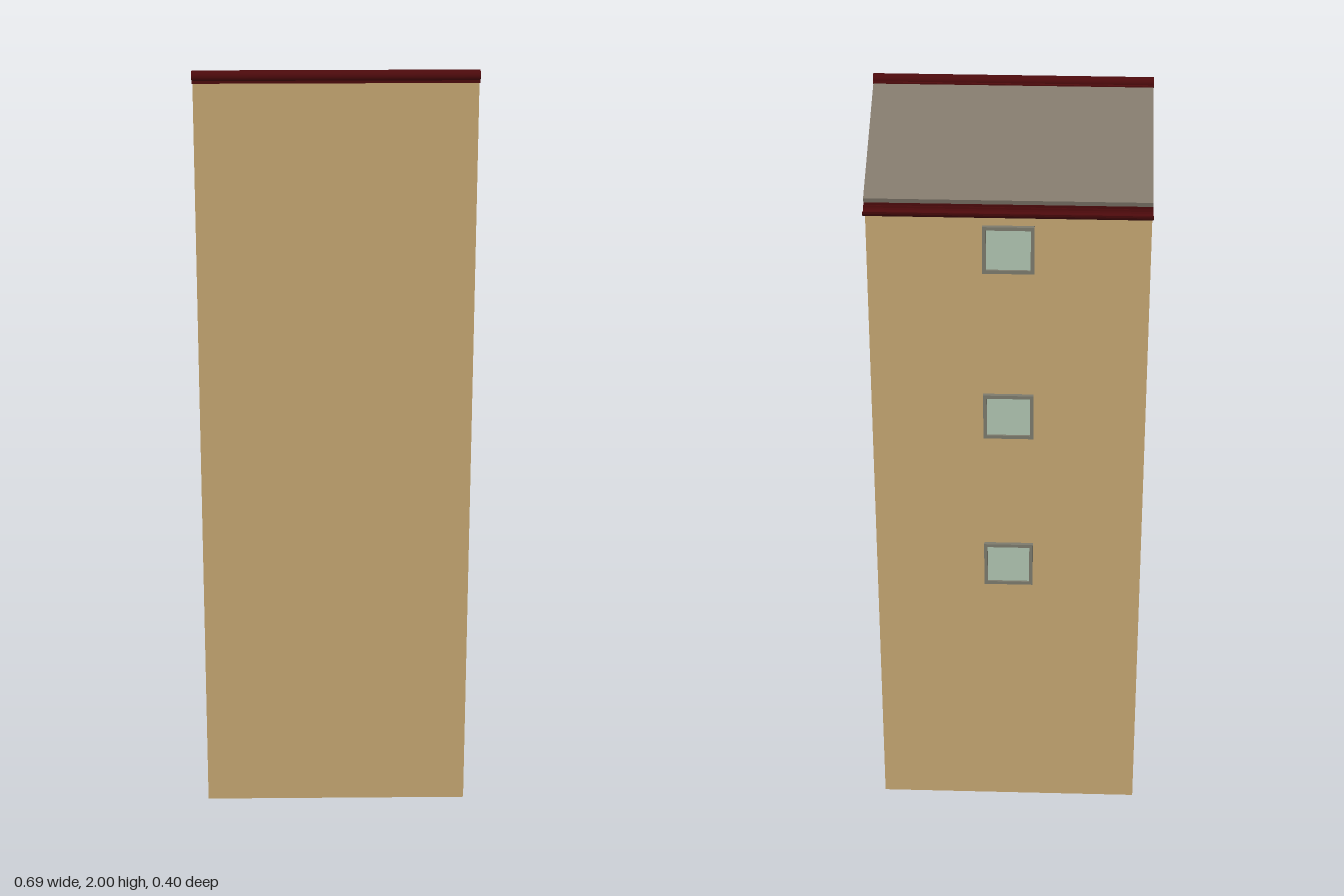
import * as THREE from 'three';

const material = (name, color, side = THREE.FrontSide) => {
  const m = new THREE.MeshStandardMaterial({ color, side });
  m.name = name;
  return m;
};

// Extrudes a (z, y) profile along x, centred on x = 0
function extrudeAlongX(points, width) {
  const shape = new THREE.Shape(points.map(([z, y]) => new THREE.Vector2(z, y)));
  const geo = new THREE.ExtrudeGeometry(shape, { depth: width, bevelEnabled: false });
  geo.translate(0, 0, -width / 2);
  geo.rotateY(-Math.PI / 2);
  return geo;
}

export function createModel() {
  const wall = material('wall plaster', 0xc8a974);
  const roofing = material('roof sheet', 0x82796c);
  const trim = material('dark red metal', 0x4c0a0c, THREE.DoubleSide);
  const frame = material('window frame', 0x7e7c6e);
  const glass = material('window glass', 0xb2c8b4);

  const model = new THREE.Group();
  model.name = 'building';
  const add = (name, geo, mat, parent = model) => {
    const mesh = new THREE.Mesh(geo, mat);
    mesh.name = name;
    parent.add(mesh);
    return mesh;
  };

  const width = 0.686;
  const backZ = -0.155;

  // Tall body with a top sloping down to the back
  add('body', extrudeAlongX([[backZ, 0], [0.19, 0], [0.19, 1.975], [backZ, 1.835]], width), wall);

  // Thin single-pitch roof
  add('roof', extrudeAlongX(
    [[0.19, 1.976], [0.188, 1.988], [-0.176, 1.84], [-0.173, 1.828]], width + 0.002), roofing);

  // Rolled cap along the high edge
  const cap = new THREE.CylinderGeometry(0.0135, 0.0135, width + 0.004, 14);
  cap.rotateZ(Math.PI / 2);
  add('ridgeCap', cap, trim).position.set(0, 1.9865, 0.187);
  add('ridgeFlashing', extrudeAlongX(
    [[0.196, 1.97], [0.196, 1.992], [0.17, 1.984], [0.17, 1.979], [0.191, 1.986], [0.191, 1.97]],
    width + 0.003), trim);

  // Half-round gutter along the low edge
  const gutter = [];
  for (const [r, dir] of [[0.018, 1], [0.015, -1]]) {
    for (let i = 0; i <= 10; i++) {
      const a = Math.PI * (dir > 0 ? 1 + i / 10 : 2 - i / 10);
      gutter.push([-0.185 + r * Math.cos(a), 1.818 + r * Math.sin(a)]);
    }
  }
  add('gutter', extrudeAlongX(gutter, width + 0.004), trim);
  add('eavesTrim', new THREE.BoxGeometry(width + 0.002, 0.016, 0.012), trim)
    .position.set(0, 1.823, -0.161);

  // Column of three windows on the back wall
  const size = 0.126;
  const bar = 0.009;
  for (const y of [0.78, 1.23, 1.7]) {
    const win = new THREE.Group();
    win.name = 'window';
    win.position.set(0, y, backZ);
    for (const s of [-1, 1]) {
      add('frameSide', new THREE.BoxGeometry(bar, size, 0.01), frame, win)
        .position.set(s * (size - bar) / 2, 0, -0.005);
      add('frameRail', new THREE.BoxGeometry(size - 2 * bar, bar, 0.01), frame, win)
        .position.set(0, s * (size - bar) / 2, -0.005);
    }
    add('pane', new THREE.BoxGeometry(size - 2 * bar, size - 2 * bar, 0.005), glass, win)
      .position.z = -0.0025;
    model.add(win);
  }

  return model;
}
